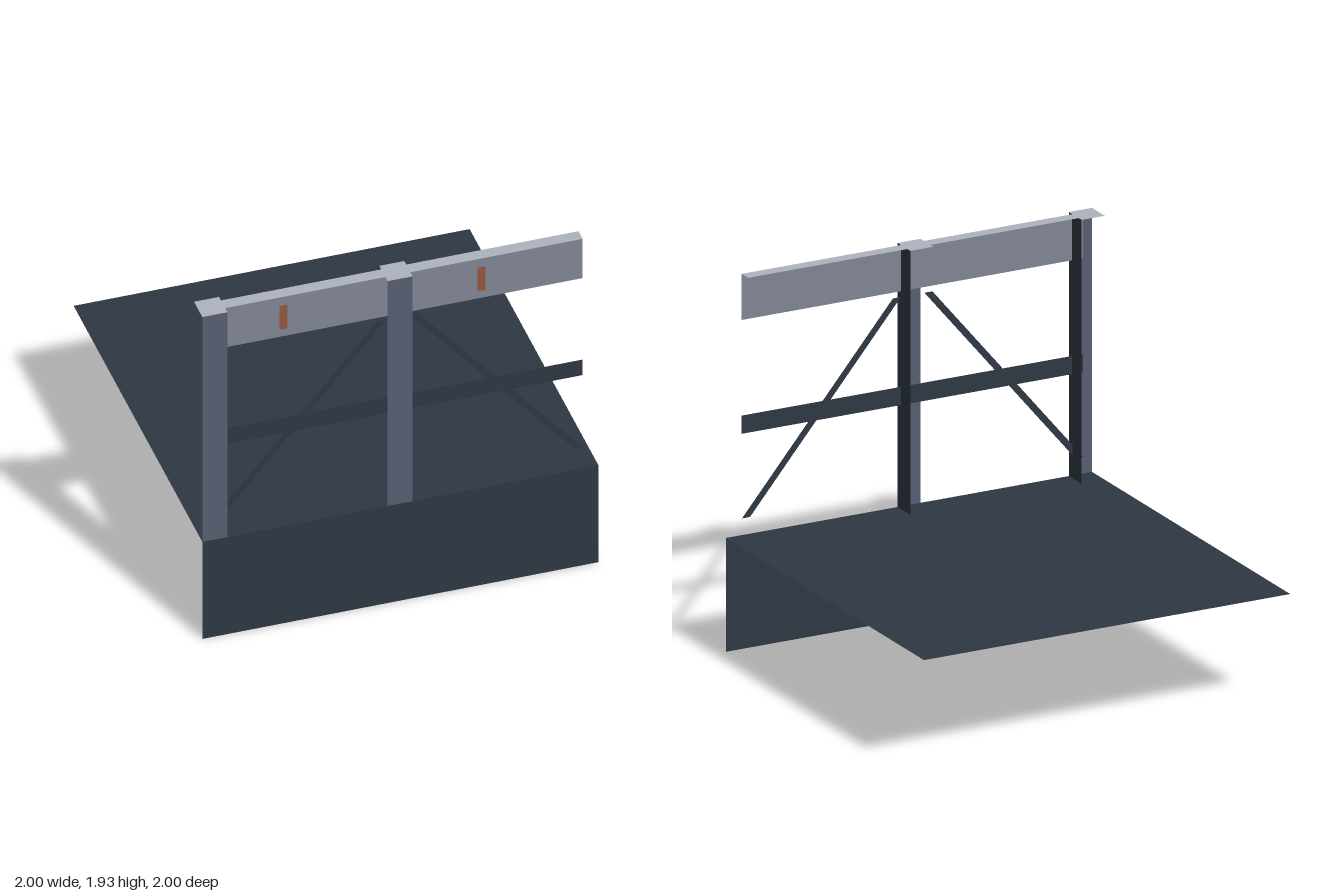
import * as THREE from 'three';

const paint = (name, color) => {
  const m = new THREE.MeshStandardMaterial({ color, side: THREE.DoubleSide });
  m.name = name;
  return m;
};

export function createModel() {
  const dark = paint('dark slate', 0x2e3743);
  const postGrey = paint('post grey', 0x585e72);
  const beamGrey = paint('beam grey', 0x808694);
  const capGrey = paint('pale cap grey', 0xaeb2bd);
  const rust = paint('rust orange', 0x92583a);

  const model = new THREE.Group();
  model.name = 'platformEdgeWithRailing';

  const add = (parent, name, geometry, material) => {
    const mesh = new THREE.Mesh(geometry, material);
    mesh.name = name;
    parent.add(mesh);
  };
  // Flat panels facing +z, +y and +x, given by their extents
  const front = (x0, x1, y0, y1, z) =>
    new THREE.PlaneGeometry(x1 - x0, y1 - y0).translate((x0 + x1) / 2, (y0 + y1) / 2, z);
  const top = (x0, x1, z0, z1, y) =>
    new THREE.PlaneGeometry(x1 - x0, z1 - z0).rotateX(-Math.PI / 2)
      .translate((x0 + x1) / 2, y, (z0 + z1) / 2);
  const side = (z0, z1, y0, y1, x) =>
    new THREE.PlaneGeometry(z1 - z0, y1 - y0).rotateY(Math.PI / 2)
      .translate(x, (y0 + y1) / 2, (z0 + z1) / 2);

  const deckY = 0.58, topY = 1.925, railZ = 0.965;

  // Deck and the wall below its front edge
  add(model, 'deck', top(-1, 1, -1, 1, deckY), dark);
  add(model, 'frontWall', front(-1, 1, 0, deckY, 1), dark);

  // Posts, open at the back and on one side
  for (const [name, x0, x1] of [['endPost', -1, -0.873], ['middlePost', -0.064, 0.062]]) {
    const post = new THREE.Group();
    post.name = name;
    add(post, 'postFront', front(x0, x1, deckY, topY, 1), postGrey);
    add(post, 'postSide', side(0.87, 1, deckY, topY, x1), dark);
    add(post, 'postCap', top(x0, x1, 0.87, 1, topY), capGrey);
    model.add(post);
  }

  // Top beam with its flange, and the middle rail
  add(model, 'topBeam', front(-0.932, 0.932, 1.69, topY, railZ), beamGrey);
  add(model, 'beamFlange', top(-0.932, 0.932, 0.9, railZ, topY), capGrey);
  add(model, 'middleRail', front(-0.932, 0.932, 1.11, 1.203, railZ), dark);

  // Rust marks on the beam
  for (const x of [-0.581, 0.42]) {
    add(model, 'rustMark', front(x - 0.02, x + 0.02, 1.735, 1.877, railZ + 0.004), rust);
  }

  // Mirrored diagonal braces
  for (const s of [-1, 1]) {
    const corners = [[0.064, 1.662], [0.888, 0.68], [0.932, 0.68], [0.108, 1.662]]
      .map(([x, y]) => new THREE.Vector2(s * x, y));
    const brace = new THREE.ShapeGeometry(new THREE.Shape(corners)).translate(0, 0, railZ - 0.003);
    add(model, s < 0 ? 'rightBrace' : 'leftBrace', brace, dark);
  }

  return model;
}
